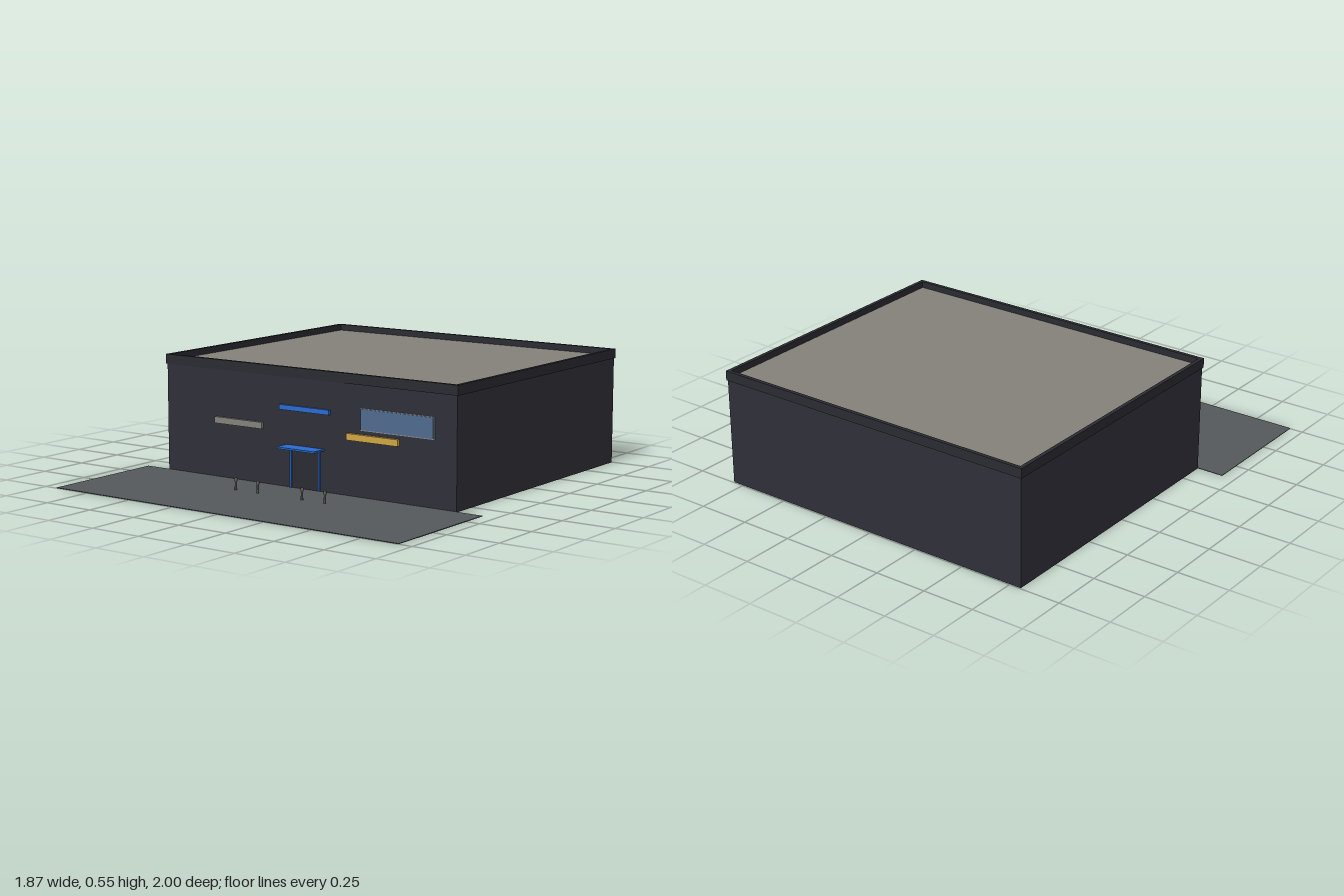
import * as THREE from 'three';

const paint = (name, color) => {
  const m = new THREE.MeshStandardMaterial({ color });
  m.name = name;
  return m;
};

export function createModel() {
  const dark = paint('charcoal cladding', 0x2f2f38);
  const trim = paint('dark trim', 0x2a2b31);
  const stone = paint('warm grey', 0x83817a);
  const asphalt = paint('asphalt', 0x54595c);
  const blue = paint('blue', 0x2b6bcc);
  const yellow = paint('ochre yellow', 0xcfa643);
  const glass = paint('window glass', 0x4f6a8e);
  const frame = paint('window frame grey', 0x85898e);
  const metal = paint('bollard metal', 0x50504f);

  const model = new THREE.Group();
  model.name = 'storeBuilding';

  // Box given by its minimum and maximum on each axis
  const box = (name, mat, [x0, x1], [y0, y1], [z0, z1]) => {
    const mesh = new THREE.Mesh(new THREE.BoxGeometry(x1 - x0, y1 - y0, z1 - z0), mat);
    mesh.position.set((x0 + x1) / 2, (y0 + y1) / 2, (z0 + z1) / 2);
    mesh.name = name;
    model.add(mesh);
    return mesh;
  };

  // Rectangular ring of walls, open at top and bottom
  const ring = (name, mat, halfX, z0, z1, y0, y1, t) => {
    const shape = new THREE.Shape([[-halfX, -z1], [halfX, -z1], [halfX, -z0], [-halfX, -z0]]
      .map(([x, y]) => new THREE.Vector2(x, y)));
    const a = halfX - t;
    shape.holes.push(new THREE.Path([[-a, -z1 + t], [-a, -z0 - t], [a, -z0 - t], [a, -z1 + t]]
      .map(([x, y]) => new THREE.Vector2(x, y))));
    const mesh = new THREE.Mesh(
      new THREE.ExtrudeGeometry(shape, { depth: y1 - y0, bevelEnabled: false }), mat);
    mesh.rotation.x = -Math.PI / 2;
    mesh.position.y = y0;
    mesh.name = name;
    model.add(mesh);
  };

  // Shell, parapet and recessed roof
  ring('walls', dark, 0.805, -0.995, 0.375, 0, 0.505, 0.01);
  ring('parapet', trim, 0.81, -1, 0.38, 0.505, 0.55, 0.018);
  box('roof', stone, [-0.794, 0.794], [0.5, 0.52], [-0.984, 0.364]);

  // Forecourt
  box('forecourt', asphalt, [-0.935, 0.935], [0, 0.003], [0.375, 1]);

  // Blank sign panels
  box('upperSign', blue, [-0.138, 0.138], [0.355, 0.378], [0.375, 0.388]);
  box('leftSign', yellow, [0.235, 0.51], [0.255, 0.285], [0.375, 0.39]);
  box('rightSign', stone, [-0.513, -0.238], [0.255, 0.285], [0.375, 0.39]);

  // Window
  box('windowFrame', frame, [0.303, 0.692], [0.302, 0.402], [0.375, 0.378]);
  box('windowGlass', glass, [0.307, 0.686], [0.306, 0.399], [0.375, 0.381]);

  // Entrance: door, frame and canopy
  box('door', trim, [-0.076, 0.076], [0.003, 0.178], [0.375, 0.377]);
  for (const s of [-1, 1]) {
    const x = s * 0.08;
    box('doorPost', blue, [x - 0.004, x + 0.004], [0.003, 0.178], [0.375, 0.383]);
  }
  box('doorHead', blue, [-0.084, 0.084], [0.178, 0.186], [0.375, 0.383]);
  box('canopy', blue, [-0.105, 0.105], [0.189, 0.197], [0.375, 0.452]);

  // Bollards with a slightly wider head
  const profile = [[0, 0], [0.006, 0], [0.005, 0.036], [0.007, 0.04], [0.007, 0.053], [0, 0.056]]
    .map(([r, y]) => new THREE.Vector2(r, y));
  const bollardGeo = new THREE.LatheGeometry(profile, 10);
  for (const x of [-0.248, -0.123, 0.123, 0.248]) {
    const bollard = new THREE.Mesh(bollardGeo, metal);
    bollard.position.set(x, 0.003, 0.565);
    bollard.name = 'bollard';
    model.add(bollard);
  }

  return model;
}
